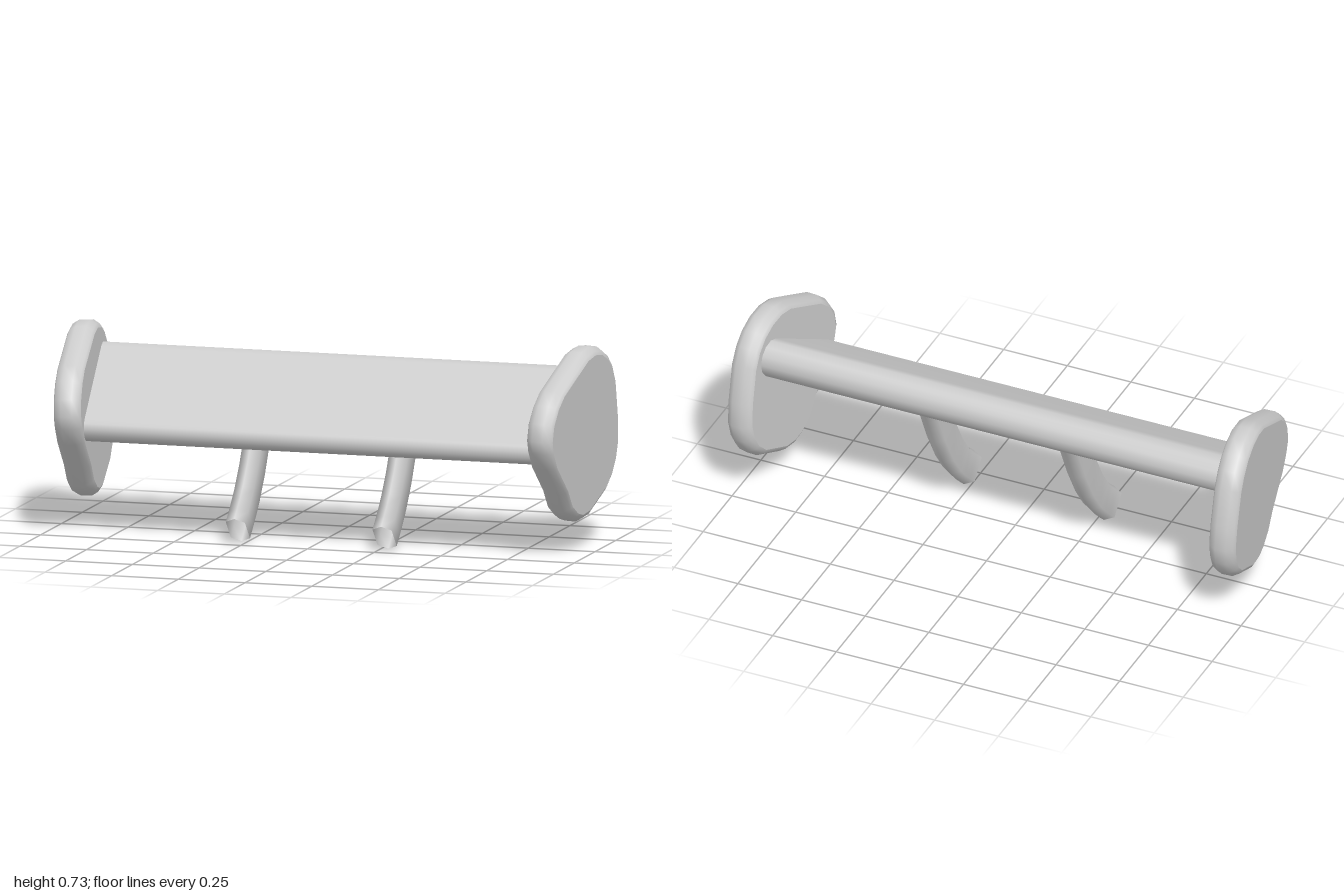
import * as THREE from 'three';

// Skin a list of closed rings with smooth normals; optional sharp flat caps.
function loft(rings, capped) {
  const n = rings[0].length, pos = [], idx = [];
  rings.forEach(r => r.forEach(p => pos.push(...p)));
  for (let i = 0; i < rings.length - 1; i++) {
    for (let j = 0; j < n; j++) {
      const k = (j + 1) % n, a = i * n + j, b = i * n + k;
      idx.push(a, b, b + n, a, b + n, a + n);
    }
  }
  if (capped) {
    [rings[0], rings[rings.length - 1]].forEach((ring, end) => {
      const base = pos.length / 3;
      ring.forEach(p => pos.push(...p));
      const mid = [0, 1, 2].map(c => ring.reduce((s, p) => s + p[c], 0) / n);
      pos.push(...mid);
      for (let j = 0; j < n; j++) {
        const a = base + j, b = base + (j + 1) % n;
        if (end) idx.push(base + n, a, b);
        else idx.push(base + n, b, a);
      }
    });
  }
  const geo = new THREE.BufferGeometry();
  geo.setAttribute('position', new THREE.Float32BufferAttribute(pos, 3));
  geo.setIndex(idx);
  geo.computeVertexNormals();
  return geo;
}

// End plate outline as [z, y], counterclockwise seen from +x
const PLATE = [
  [-0.005, 0.723], [0.22, 0.617], [0.275, 0.57], [0.314, 0.51], [0.325, 0.447],
  [0.31, 0.4], [0.27, 0.337], [0.155, 0.227], [0.107, 0.16], [0.05, 0.123],
  [0, 0.109], [-0.07, 0.117], [-0.225, 0.188], [-0.277, 0.235], [-0.308, 0.29],
  [-0.324, 0.358], [-0.314, 0.45], [-0.28, 0.592], [-0.247, 0.652], [-0.202, 0.696],
  [-0.142, 0.725], [-0.075, 0.735],
];
const PLATE_Y = 0.42;

// Rounded rim: [x offset, outline scale]
function plateGeometry() {
  const rim = [[-0.05, 0.912], [-0.043, 0.955], [-0.02, 1], [0.02, 1], [0.043, 0.955], [0.05, 0.912]];
  return loft(rim.map(([x, s]) => PLATE.map(([z, y]) => [x, (y - PLATE_Y) * s, z * s])), true);
}

// Sloped wing: thin leading edge, thick trailing edge, flat top and bulging underside
function wingGeometry() {
  const steps = 6, section = [];
  const arc = (y, z, r, from, to) => {
    for (let i = 0; i <= steps; i++) {
      const a = from + (to - from) * i / steps;
      section.push([y + r * Math.cos(a), z + r * Math.sin(a)]);
    }
  };
  const top = 0.536, under = Math.PI + 0.414;
  arc(0.39, 0.205, 0.045, top, under - 0.2);
  for (const t of [0.25, 0.5, 0.75]) {
    const bulge = 0.1 * t * (1 - t);
    section.push([
      0.349 + 0.162 * t + bulge * Math.cos(under),
      0.187 - 0.37 * t + bulge * Math.sin(under),
    ]);
  }
  arc(0.575, -0.155, 0.07, under + 0.2, 2 * Math.PI + top);
  return loft([-0.92, 0.92].map(x => section.map(([y, z]) => [x, y, z])), true);
}

// Curved six-sided strut, open at the foot, its top sunk into the wing
function strutGeometry() {
  const path = new THREE.CatmullRomCurve3([
    [0.204, 0.05], [0.15, 0.1], [0.093, 0.16], [0, 0.295], [-0.12, 0.54],
  ].map(([z, y]) => new THREE.Vector3(0, y, z)));
  const hex = [[0.064, 0], [0.045, 0.036], [-0.045, 0.036], [-0.064, 0], [-0.045, -0.036], [0.045, -0.036]];
  const rings = [];
  for (let i = 0; i <= 6; i++) {
    const p = path.getPoint(i / 6), t = path.getTangent(i / 6);
    rings.push(hex.map(([u, w]) => [w, p.y - t.z * u, p.z + t.y * u]));
  }
  return loft(rings, false);
}

export function createModel() {
  const model = new THREE.Group();
  model.name = 'rearWing';
  const grey = new THREE.MeshStandardMaterial({ color: 0xcccccc, side: THREE.DoubleSide });
  grey.name = 'lightGrey';

  const add = (name, geo) => {
    const mesh = new THREE.Mesh(geo, grey);
    mesh.name = name;
    model.add(mesh);
    return mesh;
  };

  add('wingBlade', wingGeometry());

  const plate = plateGeometry(), strut = strutGeometry();
  for (const [side, s] of [['left', 1], ['right', -1]]) {
    // End plates toe in towards the front and lean out at the top
    const end = add(side + 'EndPlate', plate);
    end.position.set(0.917 * s, PLATE_Y, 0);
    end.rotation.set(0, -0.11 * s, -0.035 * s);

    add(side + 'Strut', strut).position.x = 0.275 * s;
  }
  return model;
}
